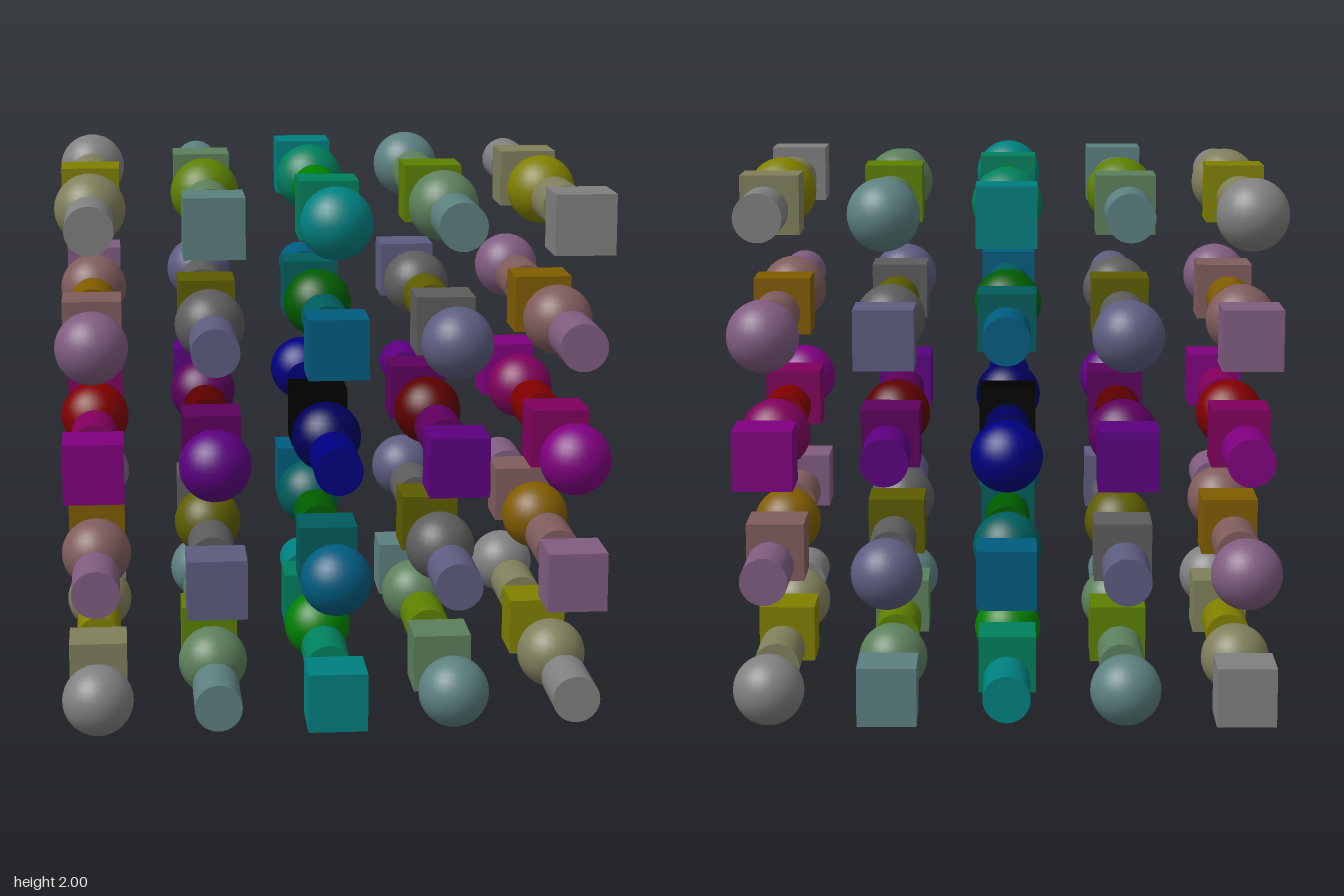
import * as THREE from 'three';

const COUNT = 5;             // solids along each axis
const UNIT = 2 / 9.2;        // cube edge
const STEP = 2 * UNIT;       // distance between neighbours
const BRIGHTEST = 0.215;     // colour channel at the outermost solids

export function createModel() {
  const model = new THREE.Group();
  model.name = 'latticeOfSolids';

  // The three solids, taking turns along every diagonal
  const solids = [
    { name: 'sphere', geometry: new THREE.SphereGeometry(0.6 * UNIT, 32, 16) },
    { name: 'cylinder', geometry: new THREE.CylinderGeometry(0.4 * UNIT, 0.4 * UNIT, 1.2 * UNIT, 32).rotateX(Math.PI / 2) },
    { name: 'cube', geometry: new THREE.BoxGeometry(UNIT, UNIT, UNIT) },
  ];

  const mid = (COUNT - 1) / 2;
  // Each colour channel grows with the distance from the centre along one axis
  const shade = (i) => BRIGHTEST * Math.abs(i - mid) / mid;

  for (let j = 0; j < COUNT; j++) {
    const layer = new THREE.Group();
    layer.name = `layer${j + 1}`;
    layer.position.y = 1 + (j - mid) * STEP;
    model.add(layer);

    for (let i = 0; i < COUNT; i++) {
      for (let k = 0; k < COUNT; k++) {
        const { name, geometry } = solids[(i + j + k + 2) % 3];
        const material = new THREE.MeshStandardMaterial();
        material.color.setRGB(shade(i), shade(j), shade(k));
        const mesh = new THREE.Mesh(geometry, material);
        mesh.name = name;
        mesh.position.set((i - mid) * STEP, 0, (k - mid) * STEP);
        layer.add(mesh);
      }
    }
  }
  return model;
}
